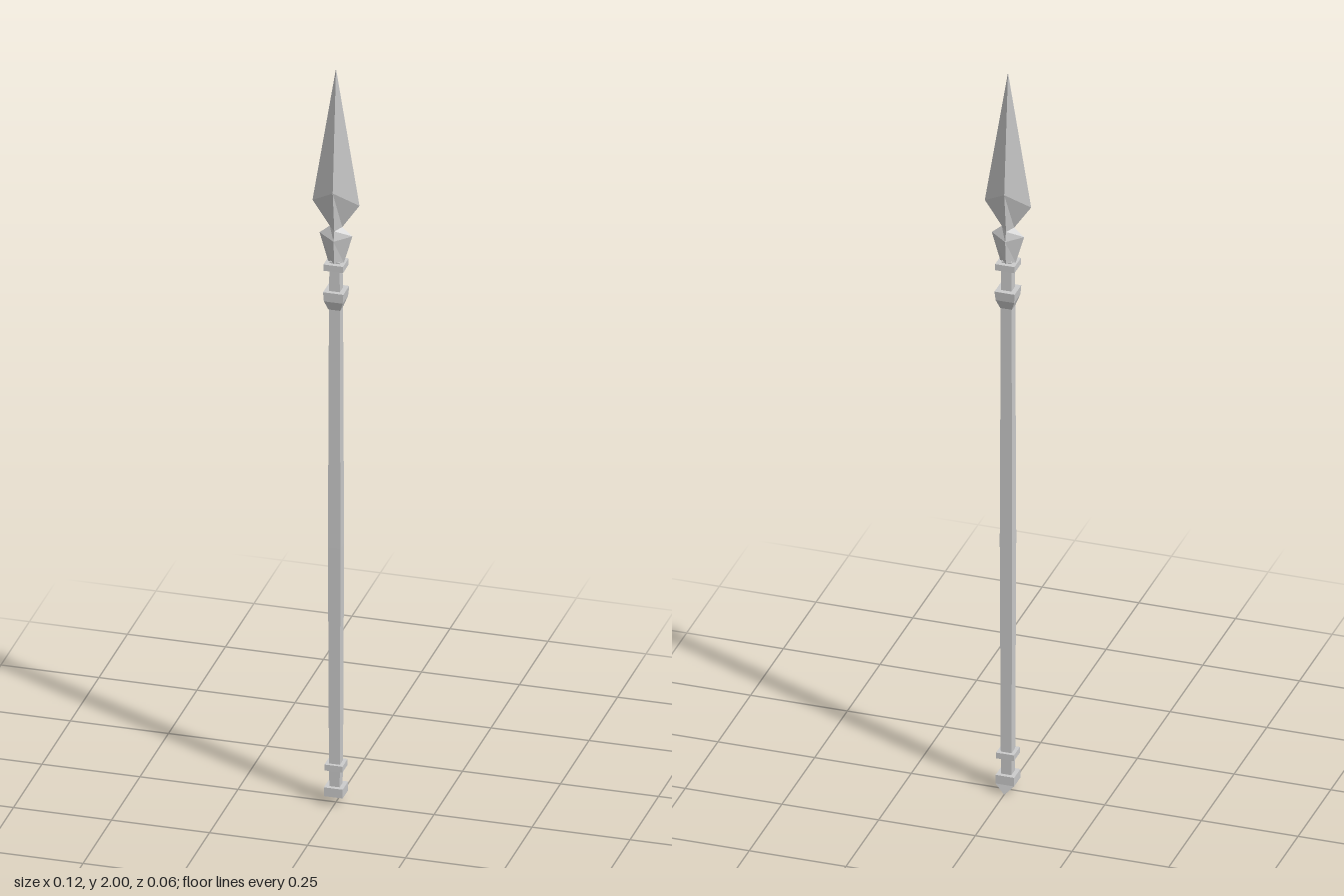
import * as THREE from 'three';

const material = new THREE.MeshStandardMaterial({ color: 0xcccccc, flatShading: true });

// Closed four-sided loft through rings of four corners, listed bottom to top
function loft(name, rings) {
  const positions = [];
  const tri = (a, b, c) => positions.push(...a, ...b, ...c);
  for (let r = 0; r < rings.length - 1; r++) {
    const low = rings[r], high = rings[r + 1];
    for (let i = 0; i < 4; i++) {
      const j = (i + 1) % 4;
      tri(low[i], high[i], high[j]);
      tri(low[i], high[j], low[j]);
    }
  }
  // End caps
  const [a, b, c, d] = rings[0], [e, f, g, h] = rings[rings.length - 1];
  tri(a, b, c); tri(a, c, d);
  tri(e, g, f); tri(e, h, g);
  const geometry = new THREE.BufferGeometry();
  geometry.setAttribute('position', new THREE.Float32BufferAttribute(positions, 3));
  geometry.computeVertexNormals();
  const mesh = new THREE.Mesh(geometry, material);
  mesh.name = name;
  return mesh;
}

// Square ring with sides along the axes
const square = (y, s, z = 0) => [[s, y, z - s], [s, y, z + s], [-s, y, z + s], [-s, y, z - s]];

// Diamond ring; side corners and ridge corners may sit at different heights
const diamond = (ySide, x, yRidge, z) => [[x, ySide, 0], [0, yRidge, z], [-x, ySide, 0], [0, yRidge, -z]];

export function createModel() {
  const group = new THREE.Group();
  group.name = 'spear';

  // Shaft, slightly thicker in the middle
  group.add(loft('shaft', [
    square(0.04, 0.013), square(0.11, 0.014), square(0.7, 0.016),
    square(1.36, 0.014), square(1.48, 0.013),
  ]));

  // Collars around the shaft
  group.add(loft('lowerRing', [square(0.094, 0.023), square(0.11, 0.023)]));
  group.add(loft('gripCollar', [
    square(1.35, 0.015), square(1.375, 0.024), square(1.4, 0.026, -0.001),
  ]));
  group.add(loft('headRing', [square(1.459, 0.025), square(1.476, 0.025)]));

  // Butt cap, its point swept towards the back
  group.add(loft('buttCap', [square(0, 0.001, -0.028), square(0.024, 0.024), square(0.048, 0.024)]));

  // Spearhead with flared socket and long diamond blade
  group.add(loft('spearhead', [
    diamond(1.475, 0.02, 1.475, 0.016),
    diamond(1.55, 0.042, 1.54, 0.022),
    diamond(1.572, 0.016, 1.565, 0.015),
    diamond(1.636, 0.06, 1.675, 0.029),
    diamond(2, 0.0005, 2, 0.0005),
  ]));
  return group;
}
